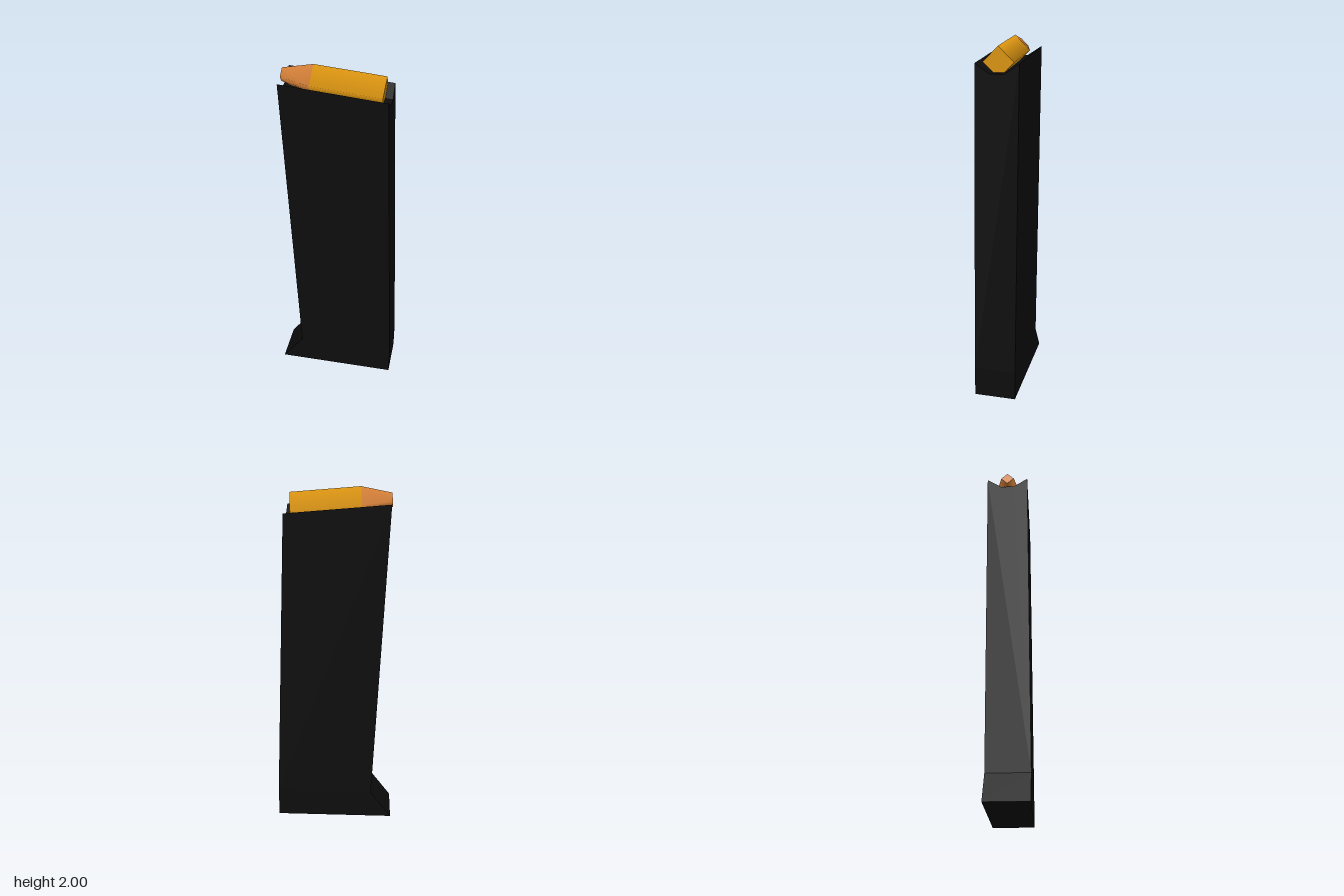
import * as THREE from 'three';

const HALF = 0.118; // half thickness in z
const SEAM = 0.17;  // height where the flared base meets the tube

function mesh(name, geometry, color) {
  const m = new THREE.Mesh(geometry, new THREE.MeshStandardMaterial({ color }));
  m.name = name;
  return m;
}

const outline = (pts) => new THREE.Shape(pts.map(([x, y]) => new THREE.Vector2(x, y)));

// Leaning tube: its end section, with a trough along the top, swept front to back
function tubeGeometry() {
  const section = outline([
    [-HALF, SEAM], [HALF, SEAM], [HALF, 1.93], [0.038, 1.878], [-0.038, 1.878], [-HALF, 1.93],
  ]);
  const g = new THREE.ExtrudeGeometry(section, { depth: 1, bevelEnabled: false });
  g.rotateY(Math.PI / 2);
  const p = g.attributes.position;
  for (let i = 0; i < p.count; i++) {
    const back = p.getX(i) > 0.5;
    let y = p.getY(i);
    if (back && y > 1) y -= 0.05; // top slopes down to the back
    const x = back ? 0.344 - 0.045 * (y - SEAM) : -0.22 - 0.0415 * (y - SEAM);
    p.setXY(i, x, y);
  }
  g.computeVertexNormals();
  return g;
}

// Four-sided round part lying along x, wide end towards +x
function roundPart(name, rFront, rBack, length, x, color) {
  const g = new THREE.CylinderGeometry(rFront, rBack, length, 4);
  g.rotateZ(Math.PI / 2);
  g.translate(x, 0, 0);
  return mesh(name, g, color);
}

export function createModel() {
  const model = new THREE.Group();
  model.name = 'magazine';

  // Base flaring out to the front
  const base = new THREE.ExtrudeGeometry(
    outline([[-0.344, 0], [0.344, 0], [0.344, SEAM], [-0.22, SEAM]]),
    { depth: HALF * 2, bevelEnabled: false });
  base.translate(0, 0, -HALF);
  model.add(mesh('base', base, 0x0d0d0d), mesh('tube', tubeGeometry(), 0x0d0d0d));

  // Cartridge resting in the trough
  const cartridge = new THREE.Group();
  cartridge.name = 'cartridge';
  cartridge.add(
    roundPart('case', 0.083, 0.083, 0.375, 0.1875, 0xe39a12),
    roundPart('bulletTip', 0.037, 0.083, 0.16, -0.08, 0xe0873c));
  cartridge.position.set(-0.14, 1.917, 0);
  cartridge.rotation.z = -0.087;
  model.add(cartridge);

  return model;
}
